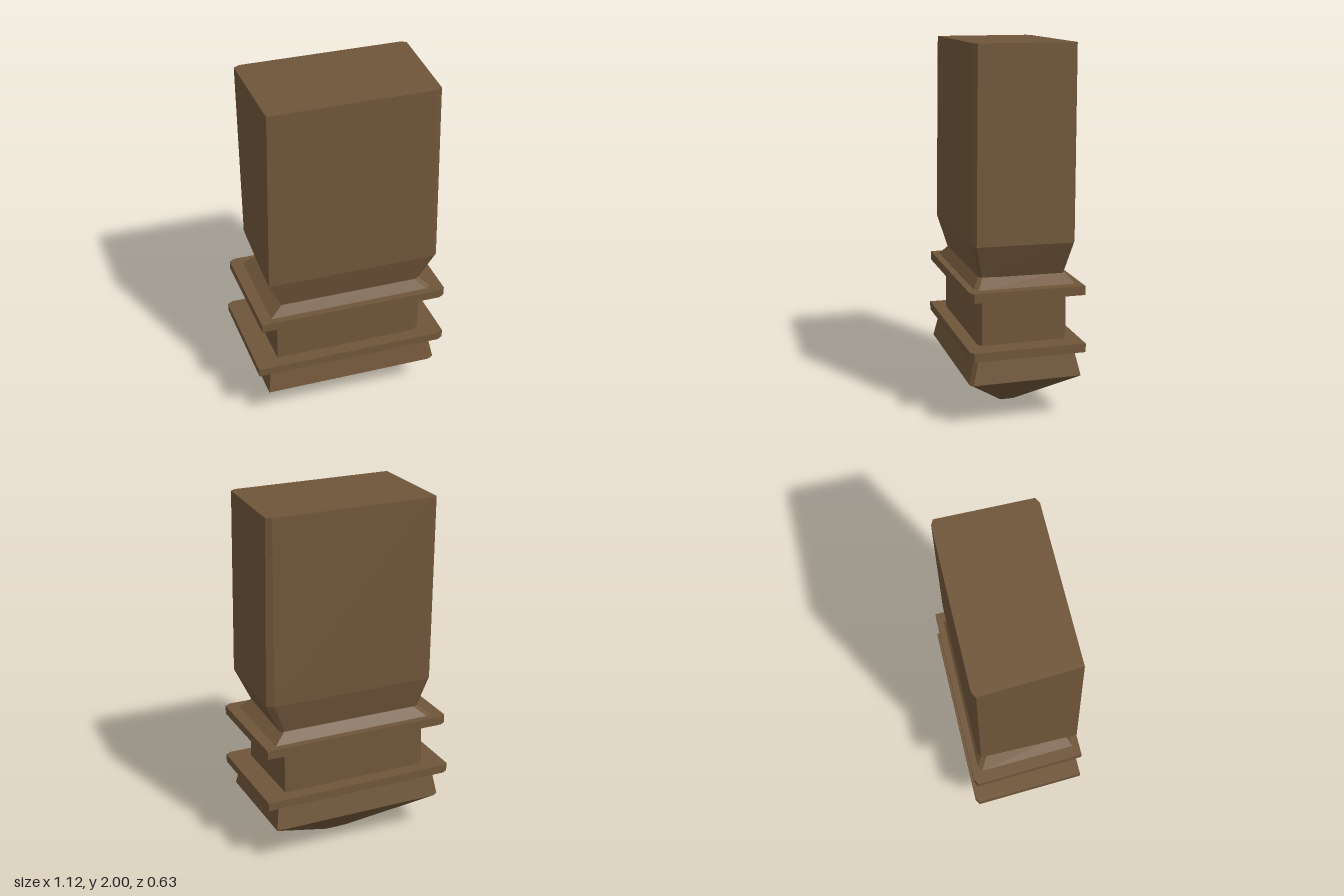
import * as THREE from 'three';

// Skewed rectangle with clipped corners, counter-clockwise seen from above.
// s: y, left x at back / front, right x at back / front, back z, front z, clip, optional back right clip
function section({ y, lb, lf, rb, rf, zb, zf, c = 0.03, cr = 0 }) {
  const h = c * 0.6;
  const pts = [[lf, zf], [rf - c, zf], [rf, zf - h]];
  if (cr) pts.push([rb, zb + cr * 0.5], [rb - cr, zb]);
  else pts.push([rb, zb]);
  pts.push([lb + c, zb], [lb, zb + h]);
  return pts.map(([x, z]) => [x, y, z]);
}

// Flat-faced closed solid through a stack of sections, bottom to top
function loft(sections) {
  const rings = sections.map(section);
  const n = rings[0].length;
  const pos = [];
  const tri = (a, b, c) => pos.push(...a, ...b, ...c);
  for (let k = 0; k < rings.length - 1; k++) {
    const lo = rings[k], hi = rings[k + 1];
    for (let i = 0; i < n; i++) {
      const j = (i + 1) % n;
      tri(lo[i], lo[j], hi[j]);
      tri(lo[i], hi[j], hi[i]);
    }
  }
  const bottom = rings[0], top = rings[rings.length - 1];
  for (let i = 1; i < n - 1; i++) {
    tri(bottom[0], bottom[i + 1], bottom[i]);
    tri(top[0], top[i], top[i + 1]);
  }
  const g = new THREE.BufferGeometry();
  g.setAttribute('position', new THREE.Float32BufferAttribute(pos, 3));
  g.computeVertexNormals();
  return g;
}

export function createModel() {
  const group = new THREE.Group();
  const wood = new THREE.MeshStandardMaterial({ color: 0x6f5539 });
  wood.name = 'brown wood';

  const add = (name, sections) => {
    const mesh = new THREE.Mesh(loft(sections), wood);
    mesh.name = name;
    group.add(mesh);
  };

  // Pointed foot that flares out and narrows again under the lower collar
  add('pointedFoot', [
    { y: 0, lb: -0.055, lf: -0.05, rb: 0.075, rf: 0.08, zb: -0.04, zf: 0.04, c: 0.01 },
    { y: 0.24, lb: -0.508, lf: -0.475, rb: 0.475, rf: 0.508, zb: -0.305, zf: 0.305 },
    { y: 0.39, lb: -0.485, lf: -0.45, rb: 0.45, rf: 0.48, zb: -0.27, zf: 0.27 },
  ]);

  // Two thin collars
  add('lowerCollar', [0.383, 0.43].map((y) => (
    { y, lb: -0.56, lf: -0.528, rb: 0.524, rf: 0.556, zb: -0.315, zf: 0.312 })));
  add('upperCollar', [0.693, 0.742].map((y) => (
    { y, lb: -0.535, lf: -0.5, rb: 0.52, rf: 0.55, zb: -0.31, zf: 0.31 })));

  // Neck between the collars
  add('neck', [
    { y: 0.425, lb: -0.435, lf: -0.405, rb: 0.4, rf: 0.43, zb: -0.24, zf: 0.242 },
    { y: 0.7, lb: -0.427, lf: -0.4, rb: 0.4, rf: 0.43, zb: -0.24, zf: 0.242 },
  ]);

  // Sloped shoulder on the upper collar
  add('shoulder', [
    { y: 0.738, lb: -0.47, lf: -0.445, rb: 0.465, rf: 0.488, zb: -0.275, zf: 0.275 },
    { y: 0.797, lb: -0.4, lf: -0.37, rb: 0.395, rf: 0.42, zb: -0.23, zf: 0.235 },
  ]);

  // Tall upper block with a tapered underside
  add('upperBlock', [
    { y: 0.793, lb: -0.4, lf: -0.37, rb: 0.415, rf: 0.42, zb: -0.23, zf: 0.235, c: 0.025, cr: 0.025 },
    { y: 0.972, lb: -0.452, lf: -0.447, rb: 0.5, rf: 0.5, zb: -0.267, zf: 0.282, c: 0.025, cr: 0.04 },
    { y: 2, lb: -0.457, lf: -0.425, rb: 0.483, rf: 0.483, zb: -0.274, zf: 0.27, c: 0.03, cr: 0.03 },
  ]);

  return group;
}
